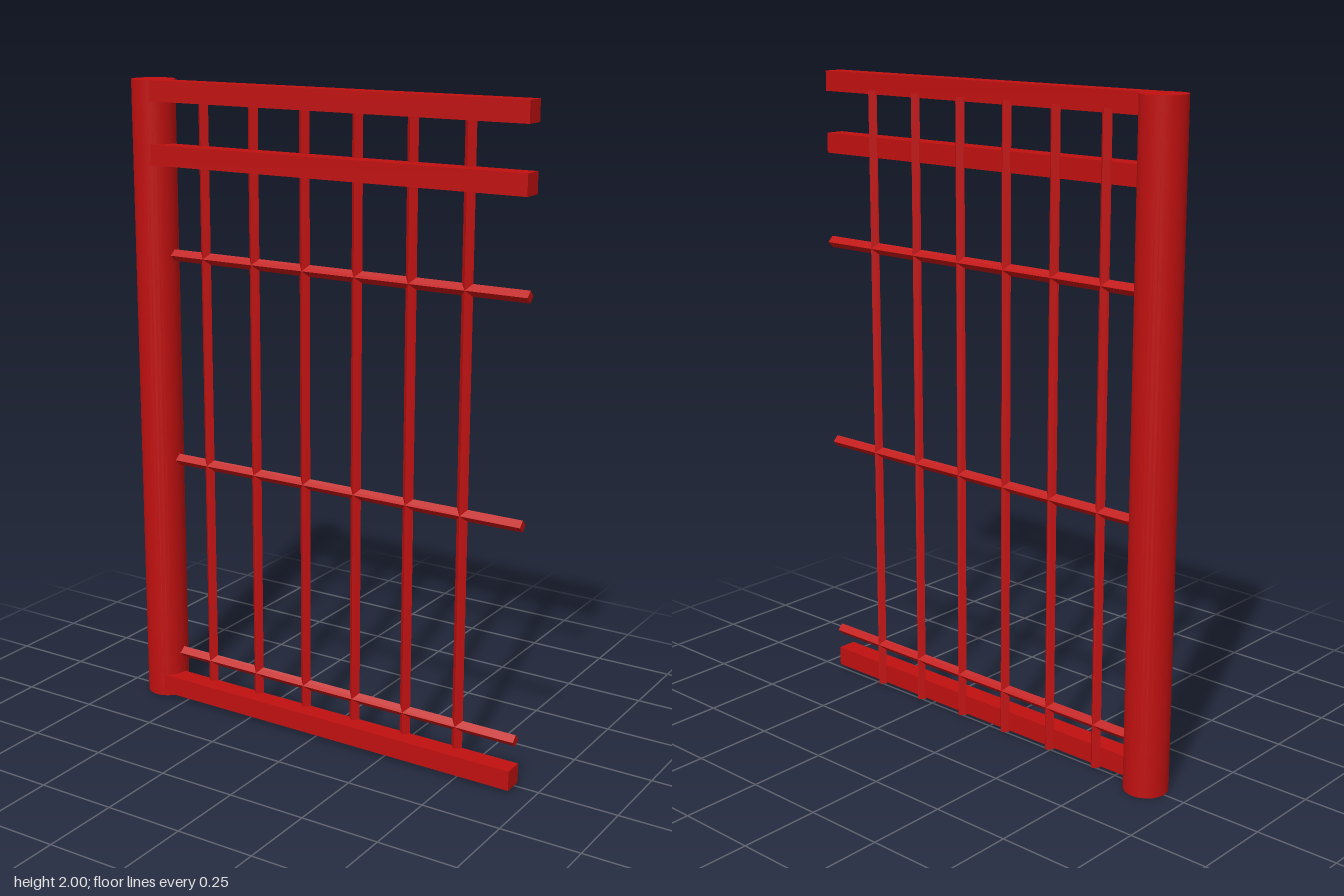
import * as THREE from 'three';

export function createModel() {
  const group = new THREE.Group();
  const paint = new THREE.MeshStandardMaterial({ color: 0xc01010 });
  const flatPaint = new THREE.MeshStandardMaterial({ color: 0xc01010, flatShading: true });

  function add(name, geometry, material, x, y, z) {
    const mesh = new THREE.Mesh(geometry, material);
    mesh.name = name;
    mesh.position.set(x, y, z);
    group.add(mesh);
    return mesh;
  }

  // Round hinge post
  add('post', new THREE.CylinderGeometry(0.067, 0.067, 2, 32), paint, -0.613, 1, 0);

  // Square rails, set in front of the bars
  const railStart = -0.61, railEnd = 0.68;
  for (const y of [0.043, 1.778, 1.969]) {
    add('rail', new THREE.BoxGeometry(railEnd - railStart, 0.062, 0.062), paint,
      (railStart + railEnd) / 2, y, 0.029);
  }

  // Thin four-sided crossbars
  const barStart = -0.6, barEnd = 0.67;
  for (const y of [0.145, 0.808, 1.467]) {
    const bar = add('crossbar', new THREE.CylinderGeometry(0.018, 0.018, barEnd - barStart, 4),
      flatPaint, (barStart + barEnd) / 2, y, 0);
    bar.rotation.z = Math.PI / 2;
  }

  // Thin four-sided uprights, evenly spaced
  const bottom = 0.006, top = 1.95;
  for (let i = 0; i < 6; i++) {
    add('upright', new THREE.CylinderGeometry(0.018, 0.018, top - bottom, 4),
      flatPaint, -0.426 + i * 0.1805, (top + bottom) / 2, 0);
  }

  return group;
}
